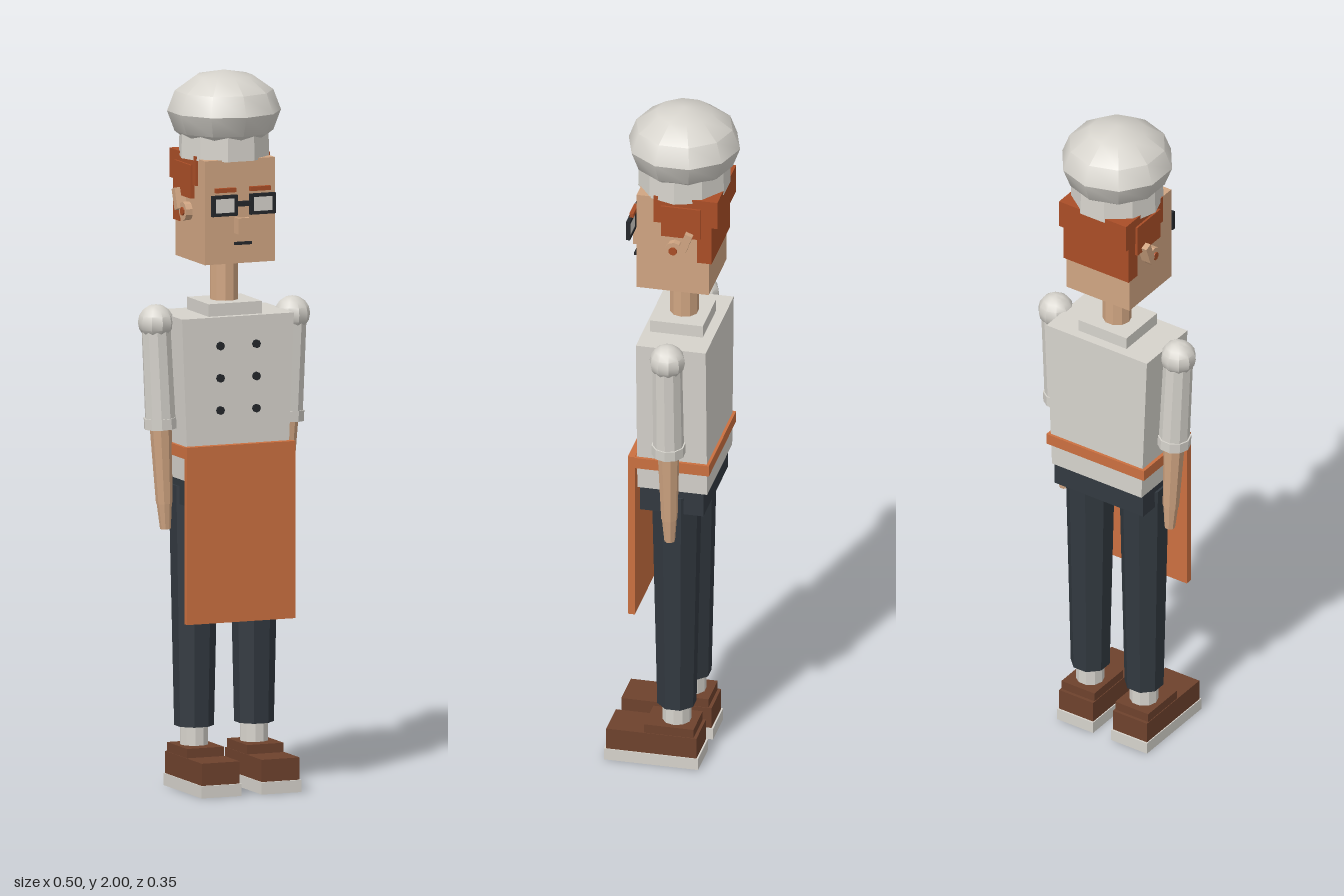
import * as THREE from 'three';
import { toCreasedNormals } from 'three/addons/utils/BufferGeometryUtils.js';

const AXIS_Z = -0.017; // the body stands slightly behind the origin, as the shoes point forward

const material = (name, color) => Object.assign(new THREE.MeshStandardMaterial({ color }), { name });

export function createModel() {
  const white = material('white cloth', 0xd6d3cc);
  const skin = material('skin', 0xd0a582);
  const orange = material('apron orange', 0xcb7040);
  const navy = material('dark trousers', 0x323940);
  const leather = material('shoe leather', 0x6e422d);
  const hairColor = material('auburn hair', 0xaa4e27);
  const black = material('black', 0x24272b);

  const model = new THREE.Group();
  model.name = 'cook';

  const add = (parent, name, geometry, mat) => {
    const mesh = new THREE.Mesh(toCreasedNormals(geometry, 0.6), mat);
    mesh.name = name;
    parent.add(mesh);
    return mesh;
  };
  // Box given by its limits; taper scales the bottom face in x and z
  const box = (parent, name, mat, [x0, x1], [y0, y1], [z0, z1], taper = 1) => {
    const g = new THREE.BoxGeometry(x1 - x0, y1 - y0, z1 - z0);
    const p = g.attributes.position;
    for (let i = 0; i < p.count; i++) {
      if (p.getY(i) < 0) p.setX(i, p.getX(i) * taper);
    }
    g.computeVertexNormals();
    const mesh = add(parent, name, g, mat);
    mesh.position.set((x0 + x1) / 2, (y0 + y1) / 2, (z0 + z1) / 2);
    return mesh;
  };
  // Tapered prism running between two points
  const limb = (parent, name, mat, top, bottom, rTop, rBottom, sides = 10) => {
    const a = new THREE.Vector3(...top), b = new THREE.Vector3(...bottom);
    const dir = a.clone().sub(b);
    const g = new THREE.CylinderGeometry(rTop, rBottom, dir.length(), sides, 1, false, Math.PI / sides);
    const mesh = add(parent, name, g, mat);
    mesh.position.copy(a).add(b).multiplyScalar(0.5);
    mesh.quaternion.setFromUnitVectors(new THREE.Vector3(0, 1, 0), dir.normalize());
    return mesh;
  };

  // Torso
  box(model, 'jacket', white, [-0.168, 0.168], [0.87, 1.325], [-0.117, 0.081], 0.89);
  box(model, 'collar', white, [-0.08, 0.08], [1.32, 1.36], [-0.088, 0.062]);
  for (const x of [-0.054, 0.054]) {
    for (const y of [1.065, 1.155, 1.245]) {
      const button = add(model, 'button', new THREE.CylinderGeometry(0.012, 0.012, 0.016, 8), black);
      button.rotation.x = Math.PI / 2;
      button.position.set(x, y, 0.08);
    }
  }
  box(model, 'hips', navy, [-0.148, 0.148], [0.8, 0.875], [-0.106, 0.074]);

  // Apron and its waistband
  box(model, 'apron', orange, [-0.163, 0.163], [0.475, 0.97], [0.085, 0.105]);
  box(model, 'apronBand', orange, [-0.163, 0.163], [0.936, 0.968], [-0.125, 0.09]);

  // Neck and head
  limb(model, 'neck', skin, [0, 1.49, AXIS_Z], [0, 1.34, AXIS_Z], 0.04, 0.04);
  const head = new THREE.Group();
  head.name = 'head';
  model.add(head);
  box(head, 'face', skin, [-0.105, 0.105], [1.475, 1.765], [-0.111, 0.094]);
  box(head, 'nose', skin, [-0.018, 0.018], [1.56, 1.605], [0.09, 0.125]);
  box(head, 'noseBridge', skin, [-0.014, 0.014], [1.6, 1.645], [0.09, 0.112]);
  box(head, 'mouth', black, [-0.026, 0.026], [1.53, 1.538], [0.112, 0.12]);

  // Glasses: two open frames with pale lenses and a bridge
  for (const s of [-1, 1]) {
    const frame = new THREE.Shape();
    frame.moveTo(-0.038, -0.029).lineTo(0.038, -0.029).lineTo(0.038, 0.029).lineTo(-0.038, 0.029).closePath();
    const hole = new THREE.Path();
    hole.moveTo(-0.029, -0.02).lineTo(-0.029, 0.02).lineTo(0.029, 0.02).lineTo(0.029, -0.02).closePath();
    frame.holes.push(hole);
    const rim = add(head, 'glassesRim', new THREE.ExtrudeGeometry(frame, { depth: 0.011, bevelEnabled: false }), black);
    rim.position.set(s * 0.057, 1.642, 0.115);
    box(head, 'lens', white, [s * 0.057 - 0.03, s * 0.057 + 0.03], [1.621, 1.663], [0.117, 0.122]);
    box(head, 'eyebrow', hairColor, [s * 0.052 - 0.03, s * 0.052 + 0.03], [1.678, 1.69], [0.108, 0.12]);
  }
  box(head, 'glassesBridge', black, [-0.02, 0.02], [1.638, 1.652], [0.115, 0.126]);

  // Ears
  for (const s of [-1, 1]) {
    const ear = limb(head, 'ear', skin, [s * 0.125, 1.612, -0.016], [s * 0.1, 1.612, -0.016], 0.026, 0.026);
    ear.name = 'earLobe';
    limb(head, 'earHollow', hairColor, [s * 0.129, 1.612, -0.014], [s * 0.11, 1.612, -0.014], 0.012, 0.012, 8);
    const rim = add(head, 'earRim', new THREE.BoxGeometry(0.035, 0.06, 0.022), skin);
    rim.position.set(s * 0.117, 1.642, -0.05);
    rim.rotation.x = -0.35;
  }

  // Hair: crown block, sides and nape
  box(head, 'hairCrown', hairColor, [-0.112, 0.112], [1.69, 1.772], [-0.137, 0.044]);
  box(head, 'hairSides', hairColor, [-0.118, 0.118], [1.652, 1.745], [-0.09, 0.022]);
  box(head, 'hairNape', hairColor, [-0.109, 0.109], [1.575, 1.695], [-0.12, -0.078]);

  // Hat: faceted band with a squashed ball on top
  limb(head, 'hatBand', white, [0, 1.835, AXIS_Z], [0, 1.76, AXIS_Z], 0.126, 0.128);
  const puff = add(head, 'hatPuff', new THREE.SphereGeometry(0.158, 10, 6).rotateY(Math.PI / 2).scale(1, 0.715, 1), white);
  puff.position.set(0, 1.887, AXIS_Z);

  // Arms and legs, mirrored
  for (const s of [-1, 1]) {
    const arm = new THREE.Group();
    arm.name = s > 0 ? 'leftArm' : 'rightArm';
    model.add(arm);
    const at = (y) => [s * (0.205 - (1.31 - y) * 0.05), y, AXIS_Z];
    const shoulder = add(arm, 'shoulder', new THREE.SphereGeometry(0.05, 10, 8).rotateY(Math.PI / 2), white);
    shoulder.position.set(...at(1.307));
    limb(arm, 'sleeve', white, at(1.31), at(1.03), 0.041, 0.043);
    limb(arm, 'cuff', white, at(1.04), at(1.01), 0.047, 0.047);
    limb(arm, 'forearm', skin, at(1.03), at(0.8), 0.031, 0.023, 8);
    limb(arm, 'hand', skin, at(0.81), at(0.728), 0.022, 0.015, 8);

    const leg = new THREE.Group();
    leg.name = s > 0 ? 'leftLeg' : 'rightLeg';
    leg.position.x = s * 0.09;
    model.add(leg);
    limb(leg, 'trouserLeg', navy, [0, 0.85, AXIS_Z], [0, 0.175, AXIS_Z], 0.07, 0.055, 8);
    limb(leg, 'sock', white, [0, 0.19, AXIS_Z], [0, 0.11, AXIS_Z], 0.04, 0.04);
    box(leg, 'shoeCollar', leather, [-0.055, 0.055], [0.09, 0.122], [-0.077, 0.063]);
    box(leg, 'shoe', leather, [-0.057, 0.057], [0.033, 0.096], [-0.086, 0.17]);
    box(leg, 'sole', white, [-0.06, 0.06], [0, 0.034], [-0.091, 0.176]);
  }
  return model;
}
